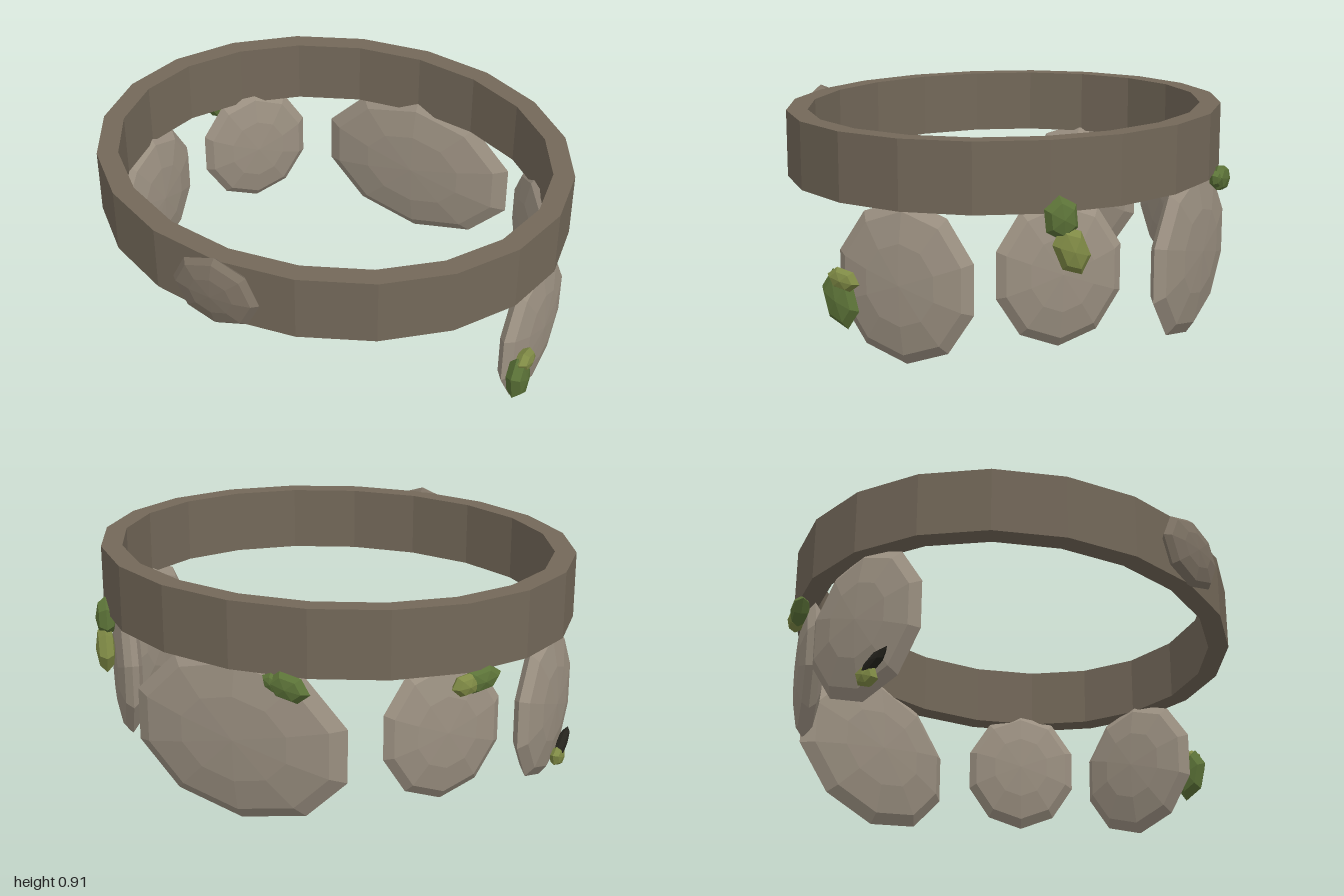
import * as THREE from 'three';

const mat = (color) => new THREE.MeshStandardMaterial({ color, flatShading: true });
const bandMat = mat(0x736859);
const plateMat = mat(0x9c9182);
const bossMat = mat(0x7d7264);
const greenMat = mat(0x5c7338);
const oliveMat = mat(0x7f8a45);
const darkMat = mat(0x24231d);

// Faceted lens: poles along its local z, one corner pointing up
function lens(name, material, sides, rings, size, pos, yaw, roll = 0) {
  const geo = new THREE.SphereGeometry(1, sides, rings);
  geo.rotateX(Math.PI / 2).rotateZ(Math.PI / 2).scale(...size);
  const mesh = new THREE.Mesh(geo, material);
  mesh.name = name;
  mesh.position.set(...pos);
  mesh.rotation.set(0, yaw, roll, 'YXZ');
  return mesh;
}

// 20-sided oval outline, counter-clockwise
function oval(rx, ry) {
  return Array.from({ length: 20 }, (_, i) => {
    const a = (i / 20) * Math.PI * 2;
    return new THREE.Vector2(Math.cos(a) * rx, Math.sin(a) * ry);
  });
}

export function createModel() {
  const model = new THREE.Group();
  model.name = 'plateBelt';

  // Oval band
  const shape = new THREE.Shape(oval(0.98, 0.865));
  shape.holes.push(new THREE.Path(oval(0.895, 0.78)));
  const bandGeo = new THREE.ExtrudeGeometry(shape, { depth: 0.265, bevelEnabled: false });
  bandGeo.rotateX(-Math.PI / 2);
  const band = new THREE.Mesh(bandGeo, bandMat);
  band.name = 'band';
  band.position.set(-0.01, 0.63, -0.02);
  model.add(band);

  // Front boss
  model.add(lens('frontBoss', bossMat, 8, 6, [0.187, 0.15, 0.045], [-0.012, 0.763, 0.855], 0));

  // Hanging plates
  model.add(lens('backPlate', plateMat, 10, 6, [0.473, 0.342, 0.062], [-0.01, 0.342, -0.81], Math.PI));
  for (const [side, s] of [['left', 1], ['right', -1]]) {
    model.add(lens(side + 'Plate', plateMat, 10, 6, [0.286, 0.313, 0.062],
      [-0.01 + s * 0.907, 0.35, -0.01], s * Math.PI / 2));
    model.add(lens(side + 'BackPlate', plateMat, 10, 6, [0.25, 0.285, 0.057],
      [-0.01 + s * 0.695, 0.395, -0.525], s * 2.26));
  }

  // Moss lumps: name, material, size, position, yaw, roll
  const moss = [
    ['leftMossLarge', greenMat, [0.074, 0.118, 0.043], [0.955, 0.275, 0.232], Math.PI / 2, 0.25],
    ['leftMossSmall', oliveMat, [0.045, 0.068, 0.034], [0.97, 0.355, 0.21], Math.PI / 2, 1.35],
    ['leftBackMossUpper', greenMat, [0.07, 0.085, 0.042], [0.755, 0.61, -0.56], 2.26, 0.1],
    ['leftBackMossLower', oliveMat, [0.068, 0.1, 0.04], [0.738, 0.492, -0.595], 2.26, 0.4],
    ['backMossLarge', greenMat, [0.058, 0.09, 0.034], [-0.25, 0.595, -0.868], Math.PI, 1.4],
    ['backMossSmall', greenMat, [0.035, 0.05, 0.025], [-0.185, 0.6, -0.865], Math.PI, 1.1],
    ['rightBackMossLarge', greenMat, [0.052, 0.088, 0.038], [-0.83, 0.59, -0.465], -2.2, 1.75],
    ['rightBackMossSmall', oliveMat, [0.045, 0.06, 0.035], [-0.795, 0.58, -0.52], -2.2, 1.75],
    ['rightMoss', oliveMat, [0.042, 0.06, 0.026], [-0.97, 0.1, 0.055], -Math.PI / 2, 1.2],
    ['rightMossDark', darkMat, [0.025, 0.08, 0.022], [-0.975, 0.145, 0.09], -Math.PI / 2, -0.95],
  ];
  for (const [name, material, size, pos, yaw, roll] of moss) {
    model.add(lens(name, material, 6, 4, size, pos, yaw, roll));
  }
  return model;
}
